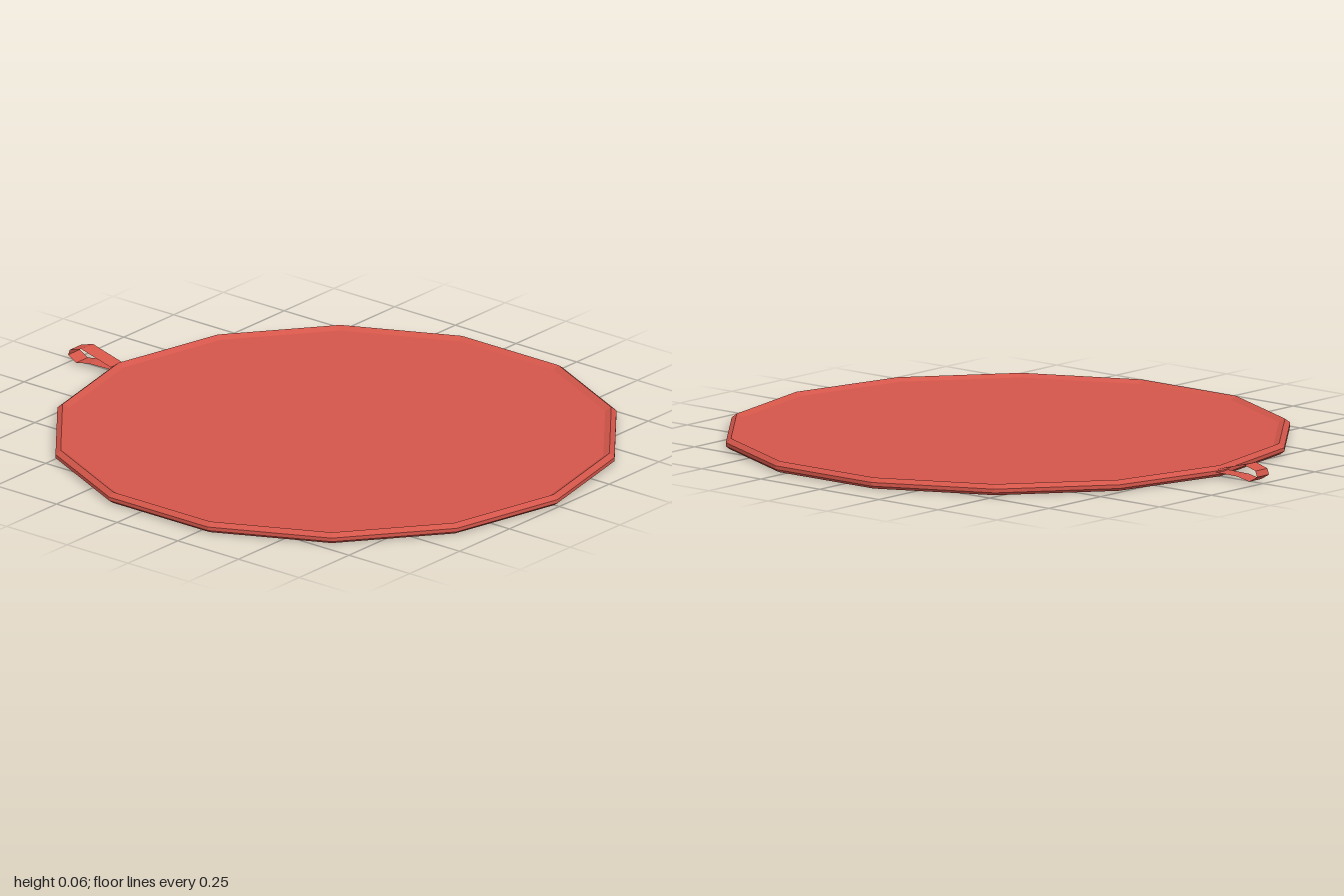
import * as THREE from 'three';

const red = new THREE.MeshStandardMaterial({ color: 0xd4564a, flatShading: true, side: THREE.DoubleSide });
red.name = 'red';

// Open ribbon of the given width swept along a [z, y] path
function ribbon(path, width) {
  const positions = [];
  const index = [];
  path.forEach(([z, y], i) => {
    positions.push(-width / 2, y, z, width / 2, y, z);
    if (i > 0) {
      const a = 2 * i - 2;
      index.push(a, a + 1, a + 3, a, a + 3, a + 2);
    }
  });
  const geometry = new THREE.BufferGeometry();
  geometry.setAttribute('position', new THREE.Float32BufferAttribute(positions, 3));
  geometry.setIndex(index);
  geometry.computeVertexNormals();
  return geometry;
}

export function createModel() {
  const model = new THREE.Group();
  model.name = 'potHolder';

  // Fourteen-sided pad: flat base, bevelled rim and a shallow recessed top
  const profile = [
    [0, 0], [0.9, 0], [0.913, 0.01], [0.913, 0.022],
    [0.896, 0.035], [0.876, 0.024], [0, 0.024],
  ].map(([r, y]) => new THREE.Vector2(r, y));
  const pad = new THREE.Mesh(new THREE.LatheGeometry(profile, 14), red);
  pad.name = 'pad';
  pad.position.z = 0.08;
  model.add(pad);

  // Hanging loop at the back
  const loopPath = [
    [-0.825, 0.026], [-0.945, 0.058], [-0.993, 0.044], [-1, 0.025],
    [-0.967, 0.006], [-0.915, 0.016], [-0.825, 0.018],
  ];
  const loop = new THREE.Mesh(ribbon(loopPath, 0.058), red);
  loop.name = 'hangingLoop';
  model.add(loop);

  return model;
}
